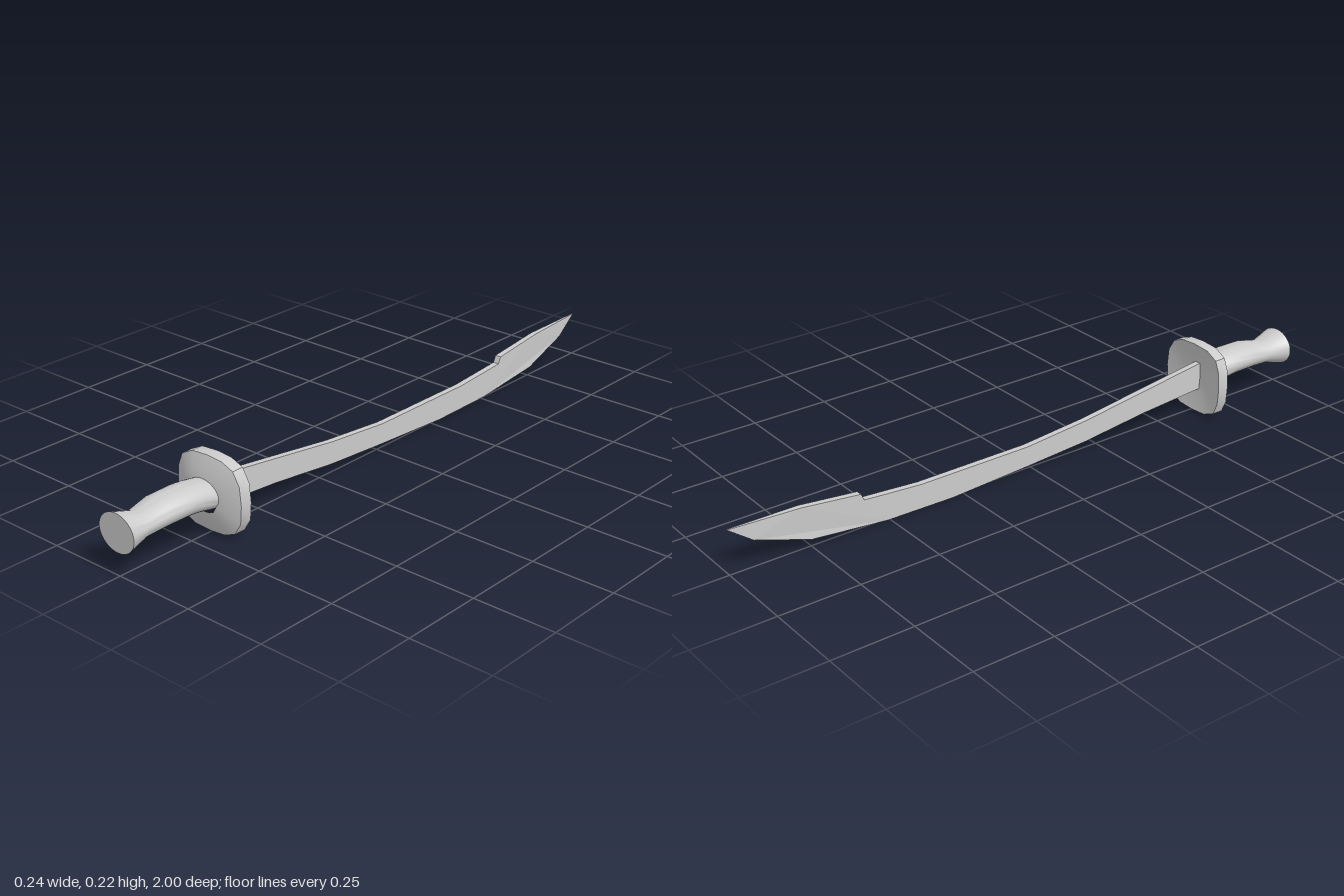
import * as THREE from 'three';
import { toCreasedNormals } from 'three/addons/utils/BufferGeometryUtils.js';

const material = new THREE.MeshStandardMaterial({ color: 0xcccccc });

function part(name, geometry) {
  const mesh = new THREE.Mesh(geometry, material);
  mesh.name = name;
  return mesh;
}

// Skin over rings of [x, y, z] points, ordered from +z to -z and
// counter-clockwise as seen from +z.
function loft(rings, crease) {
  const n = rings[0].length;
  const index = [];
  for (let i = 0; i < rings.length - 1; i++) {
    for (let j = 0; j < n; j++) {
      const a = i * n + j, b = i * n + (j + 1) % n;
      index.push(a, a + n, b, b, a + n, b + n);
    }
  }
  const geometry = new THREE.BufferGeometry();
  geometry.setAttribute('position', new THREE.Float32BufferAttribute(rings.flat(2), 3));
  geometry.setIndex(index);
  return toCreasedNormals(geometry, crease);
}

// Oval grip with a waist and a flared flat pommel
function makeHandle() {
  const sections = [ // z, centre y, half width, half height
    [1, 0.125, 0.0005, 0.0005],
    [1, 0.125, 0.066, 0.057],
    [0.93, 0.124, 0.049, 0.036],
    [0.86, 0.134, 0.058, 0.041],
    [0.78, 0.134, 0.059, 0.042],
    [0.74, 0.130, 0.059, 0.043],
    [0.67, 0.117, 0.059, 0.044],
  ];
  const sides = 32;
  const rings = sections.map(([z, cy, rx, ry]) =>
    Array.from({ length: sides }, (_, j) => {
      const t = (j / sides) * Math.PI * 2;
      return [-0.003 + rx * Math.cos(t), cy + ry * Math.sin(t), z];
    }));
  return part('handle', loft(rings, 0.6));
}

// Rounded-square guard: sloping front, straight rim, dished back
function makeGuard() {
  const outline = [
    [0.118, 0.113], [0.113, 0.168], [0.09, 0.207], [0.05, 0.223],
    [-0.003, 0.227], [-0.06, 0.223], [-0.1, 0.203], [-0.116, 0.165],
    [-0.12, 0.113], [-0.116, 0.06], [-0.1, 0.023], [-0.06, 0.006],
    [-0.003, 0.003], [0.05, 0.007], [0.09, 0.023], [0.113, 0.06],
  ];
  const cx = -0.002, cy = 0.116;
  const steps = [ // scale of outline, z
    [0.4, 0.7], [0.64, 0.695], [1, 0.677], [1, 0.64], [0.5, 0.655], [0.005, 0.66],
  ];
  const rings = steps.map(([s, z]) =>
    outline.map(([x, y]) => [cx + (x - cx) * s, cy + (y - cy) * s, z]));
  return part('guard', loft(rings, 0.6));
}

// Curved single-edged blade with a stepped, widened tip
function makeBlade() {
  const profile = [ // z, y
    [0.67, 0.162], [0.43, 0.13], [0.2, 0.099], [-0.02, 0.08], [-0.395, 0.08],
    [-0.583, 0.094], [-0.593, 0.115], [-0.78, 0.136], [-1, 0.142],
    [-0.925, 0.086], [-0.754, 0.03], [-0.51, 0.005], [-0.29, 0.002],
    [-0.02, 0.016], [0.2, 0.03], [0.43, 0.056], [0.67, 0.074],
  ];
  const half = 0.01;
  const shape = new THREE.Shape(profile.map(([z, y]) => new THREE.Vector2(-z, y)));
  const geometry = new THREE.ExtrudeGeometry(shape, { depth: 2 * half, bevelEnabled: false });
  geometry.translate(0, 0, -half);
  geometry.rotateY(Math.PI / 2);
  // Thin the blade towards its point
  const p = geometry.attributes.position;
  for (let i = 0; i < p.count; i++) {
    const t = THREE.MathUtils.clamp((-p.getZ(i) - 0.75) / 0.25, 0, 1);
    p.setX(i, p.getX(i) * (1 - 0.8 * t) - 0.004);
  }
  geometry.computeVertexNormals();
  return part('blade', geometry);
}

export function createModel() {
  const sword = new THREE.Group();
  sword.name = 'sword';
  sword.add(makeHandle(), makeGuard(), makeBlade());
  return sword;
}
